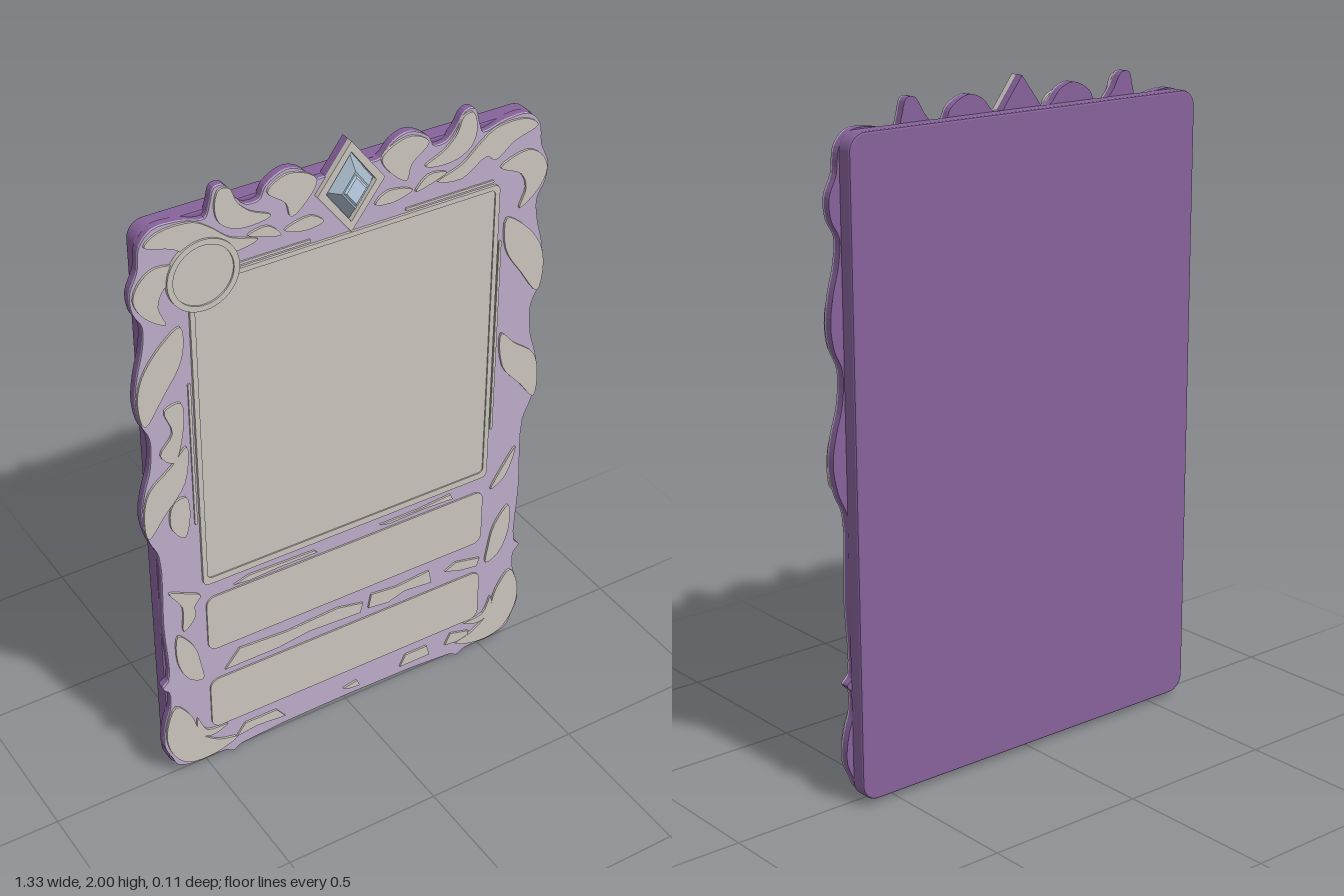
import * as THREE from 'three';

const mat = (name, color) => Object.assign(new THREE.MeshStandardMaterial({ color }), { name });

export function createModel() {
  const purple = mat('purple', 0x86629a);
  const lavender = mat('lavender', 0xbdabca);
  const stone = mat('warm grey', 0xc9c3bc);
  const gemBlue = mat('gem blue', 0xa5b7c6);
  const gemLight = mat('gem highlight', 0xbdd2e6);

  const root = new THREE.Group();
  root.name = 'ornateCardFrame';

  const add = (name, geo, material, parent = root) => {
    const mesh = new THREE.Mesh(geo, material);
    mesh.name = name;
    parent.add(mesh);
    return mesh;
  };
  // Extrude a shape between two depths
  const slab = (shape, z0, z1) => new THREE.ExtrudeGeometry(shape,
    { depth: z1 - z0, bevelEnabled: false, curveSegments: 8 }).translate(0, 0, z0);
  // Flat x, y list in hundredths of a unit, mirrored when side is -1
  const toPoints = (list, side = 1) => {
    const pts = [];
    for (let i = 0; i < list.length; i += 2) {
      pts.push(new THREE.Vector3(side * list[i] / 100, list[i + 1] / 100, 0));
    }
    return pts;
  };
  const smooth = (pts, div) => new THREE.Shape(
    new THREE.CatmullRomCurve3(pts, true).getPoints(pts.length * div).slice(0, -1)
      .map(p => new THREE.Vector2(p.x, p.y)));
  const straight = (pts) => new THREE.Shape(pts.map(p => new THREE.Vector2(p.x, p.y)));
  const roundRect = (x0, y0, x1, y1, r) => {
    const s = new THREE.Shape();
    s.absarc(x1 - r, y1 - r, r, 0, Math.PI / 2);
    s.absarc(x0 + r, y1 - r, r, Math.PI / 2, Math.PI);
    s.absarc(x0 + r, y0 + r, r, Math.PI, Math.PI * 1.5);
    s.absarc(x1 - r, y0 + r, r, Math.PI * 1.5, Math.PI * 2);
    s.closePath();
    return s;
  };
  const diamond = (w, h, cy = 1.863) => {
    const s = new THREE.Shape();
    s.moveTo(w, cy); s.lineTo(0, cy + h); s.lineTo(-w, cy); s.lineTo(0, cy - h);
    s.closePath();
    return s;
  };

  // Backing board with softly rounded rim
  add('backBoard', new THREE.ExtrudeGeometry(roundRect(-0.614, 0.026, 0.614, 1.904, 0.045),
    { depth: 0.04, bevelThickness: 0.006, bevelSize: 0.006, bevelSegments: 2, curveSegments: 8 })
    .translate(0, 0, -0.054), purple);

  // Scalloped front plate: one half outline, bottom to top, then mirrored
  const half = [
    38, 1.8, 41, 0.3, 44, 1.8, 54, 2, 60, 4, 62, 8, 64, 13, 64, 18, 63, 23, 61.5, 28, 61.5, 34,
    63.5, 36.5, 61.5, 39, 62, 60, 62, 86, 64.5, 92, 66, 98, 66.3, 1.03e2, 65, 110, 63, 117, 62.5, 127,
    65, 133, 66, 140, 65, 148, 63, 156, 62.5, 163, 65, 168, 65.5, 174, 63, 180, 62, 187, 58, 191,
    50, 191, 43, 189.5, 41.5, 193, 40, 197.5, 37, 197.5, 34, 193, 31, 190, 27, 190, 25, 193.5,
    19, 196.5, 14, 195, 10, 191, 5, 191,
  ];
  const outline = smooth([...toPoints(half), ...toPoints(half, -1).reverse()], 4);
  add('frontPlate', slab(outline, -0.014, 0.008), purple);
  add('frontPlateFace', slab(outline, 0.008, 0.015), lavender);

  // Picture panel, its raised lip and the two text panels
  const panels = new THREE.Group();
  panels.name = 'panels';
  root.add(panels);
  add('picturePanel', slab(roundRect(-0.485, 0.70, 0.485, 1.715, 0.02), 0.01, 0.019), stone, panels);
  const lip = roundRect(-0.49, 0.70, 0.49, 1.72, 0.02);
  lip.holes.push(roundRect(-0.475, 0.722, 0.475, 1.705, 0.015));
  add('pictureLip', slab(lip, 0.012, 0.023), stone, panels);
  for (const [y0, y1] of [[0.445, 0.645], [0.135, 0.325]]) {
    add('textPanel', slab(roundRect(-0.482, y0, 0.482, y1, 0.03), 0.01, 0.02), stone, panels);
  }
  // Thin rails beside the picture
  for (const [x0, y0, x1, y1] of [
    [-0.505, 0.93, -0.497, 1.41], [0.497, 0.87, 0.505, 1.53],
    [0.18, 1.728, 0.47, 1.736], [-0.34, 1.728, -0.12, 1.736]]) {
    add('rail', slab(roundRect(x0, y0, x1, y1, 0.003), 0.012, 0.02), stone, panels);
  }

  // Raised leaves and scrolls
  const ornaments = new THREE.Group();
  ornaments.name = 'ornaments';
  root.add(ornaments);
  const mirrored = {
    hornLeaf: [39, 197, 40.5, 192, 39, 187, 34, 184, 26, 184, 24, 185, 30, 188, 34, 192, 36, 196.5],
    fanLeaf: [25, 192, 19.5, 195.5, 13, 194, 10, 191, 14, 185, 18, 182.5, 19.5, 187],
    cornerLeaf: [61, 187, 57, 190, 47, 190, 42, 187, 36, 182, 28, 179, 36, 177.5, 44, 182, 47, 180, 53, 184],
    cornerCurl: [49, 177, 58, 180, 63, 177, 65, 172, 62, 166, 56, 162, 58, 168, 56, 173],
    upperScroll: [8, 178, 12, 181, 20, 179, 14, 177],
    innerScroll: [21, 178, 25, 182, 31, 181, 26, 179],
    upperSideLeaf: [52, 160, 52, 150, 58, 140, 64, 132, 65.7, 140, 64, 148, 58, 156],
    lowerSideLeaf: [52, 121, 53, 109, 60, 100, 65, 94, 66, 102, 64, 110, 57, 116],
    lowLeaf: [58, 55, 53, 49, 51, 41, 50.5, 35, 55, 37, 58.5, 45],
    bottomCornerLeaf: [63.5, 19, 60, 28, 55, 22, 52, 13, 46, 8, 40, 6, 48, 3, 57, 4, 62, 10],
    bottomCurl: [53, 20, 50, 14, 43, 13, 49, 11, 53, 14],
  };
  for (const [name, list] of Object.entries(mirrored)) {
    for (const side of [1, -1]) {
      add(name, slab(smooth(toPoints(list, side), 4), 0.012, 0.022), stone, ornaments);
    }
  }
  const single = {
    leftUpperChip: [-58, 135, -53, 136, -53, 125, -56, 117, -60, 121, -56, 127],
    leftMiddleChip: [-57, 103, -53, 104, -52, 97, -54, 90, -58, 95],
    leftLowerLeaf: [-60, 72, -55, 70, -50, 67, -52, 64, -52, 60, -56, 56, -56, 65],
    rightLowerLeaf: [51, 64, 56, 67, 59.5, 77, 55, 71],
  };
  for (const [name, list] of Object.entries(single)) {
    add(name, slab(smooth(toPoints(list), 4), 0.012, 0.022), stone, ornaments);
  }
  // Broken bars between and under the text panels
  const bars = [
    [-43, 35, -38, 41, -22, 40, -4, 41, 5, 39, 4, 35.5, -14, 36.5, -25, 35],
    [7, 36, 8, 41, 17, 40, 29, 41, 30, 36, 20, 37, 14, 35],
    [35, 38, 39, 40, 48, 38, 47, 35, 41, 36],
    [-39, 66, -34, 67.5, -12, 67, -11, 66, -24, 66, -34, 65.5],
    [11, 67, 24, 67, 36, 68, 37, 66, 26, 66.5, 14, 66],
    [-40, 6, -37, 10, -26, 10, -23, 6, -33, 7],
    [19, 6, 21, 10, 29, 10, 30, 6],
    [36, 7, 38, 11, 45, 9, 44, 6],
    [-2, 7, 3, 8, 4, 5.5, 0, 6],
  ];
  for (const list of bars) {
    add('brokenBar', slab(straight(toPoints(list)), 0.012, 0.021), stone, ornaments);
  }

  // Round badge with raised ring
  const disc = (r) => new THREE.Shape().absarc(-0.447, 1.737, r, 0, Math.PI * 2);
  const ring = disc(0.107);
  ring.holes.push(disc(0.09));
  const fine = (shape, z0, z1) => new THREE.ExtrudeGeometry(shape,
    { depth: z1 - z0, bevelEnabled: false, curveSegments: 40 }).translate(0, 0, z0);
  add('badgeRing', fine(ring, 0.01, 0.028), stone);
  add('badgeFace', fine(disc(0.095), 0.01, 0.023), stone);

  // Gem mount and faceted gem
  add('gemMountBack', slab(diamond(0.105, 0.137), -0.014, 0.012), purple);
  const mount = diamond(0.105, 0.137);
  mount.holes.push(diamond(0.078, 0.105));
  add('gemMount', slab(mount, 0.012, 0.03), stone);
  const facet = (rTop, rBase, z0, z1) => {
    const g = new THREE.CylinderGeometry(rTop, rBase, z1 - z0, 4).toNonIndexed();
    g.rotateX(Math.PI / 2).scale(1, 1.35, 1).translate(0, 1.863, (z0 + z1) / 2);
    g.computeVertexNormals();
    return g;
  };
  add('gem', facet(0.042, 0.078, 0.012, 0.05), gemBlue);
  add('gemTable', facet(0.03, 0.036, 0.05, 0.055), gemLight);

  return root;
}
